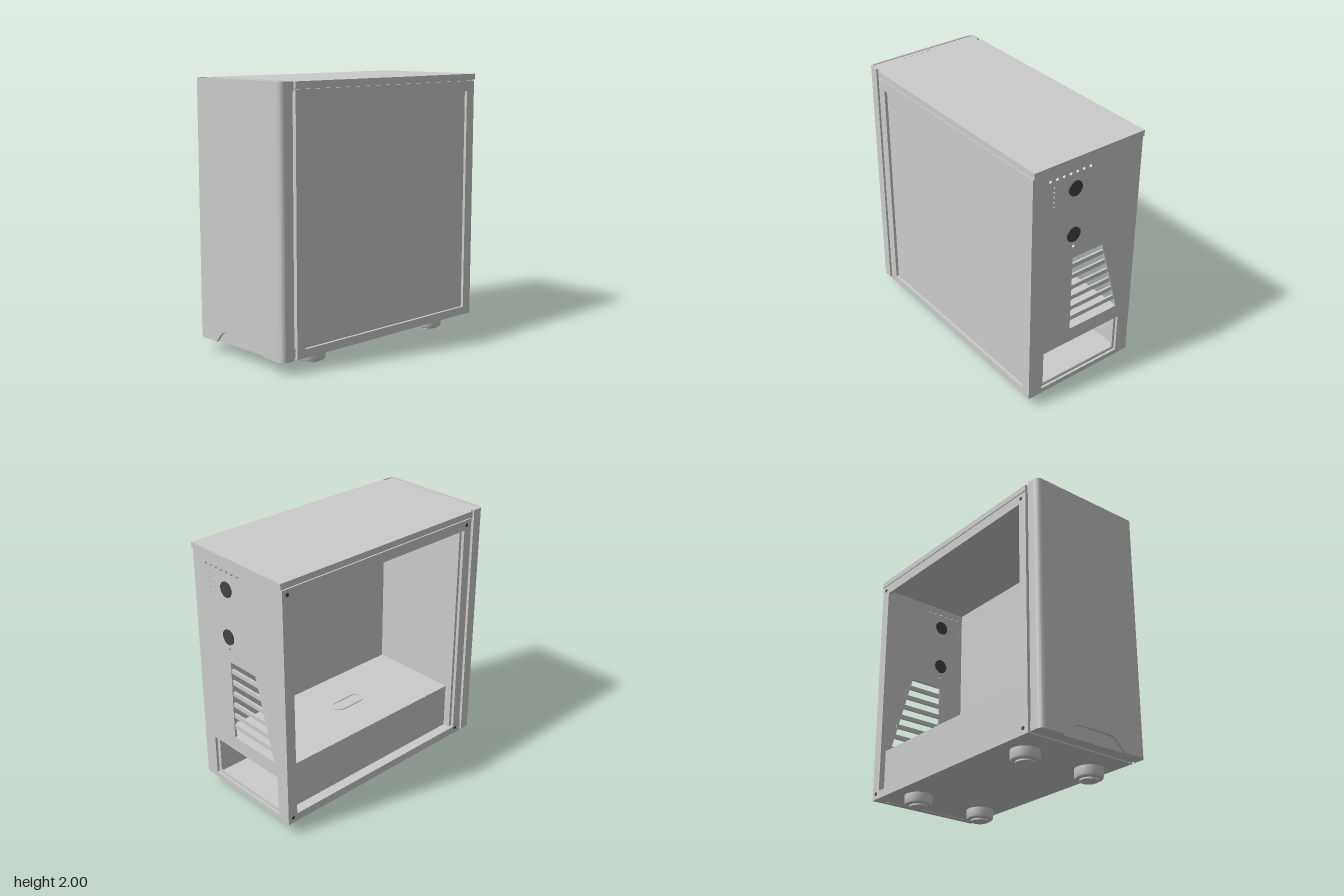
import * as THREE from 'three';
import { toCreasedNormals } from 'three/addons/utils/BufferGeometryUtils.js';

const grey = new THREE.MeshStandardMaterial({ color: 0xcccccc });
const dark = new THREE.MeshStandardMaterial({ color: 0x444444 });

function add(parent, name, geo, mat = grey) {
  const mesh = new THREE.Mesh(geo, mat);
  mesh.name = name;
  parent.add(mesh);
  return mesh;
}

// Box given by its limits on each axis
function box(parent, name, [x0, x1], [y0, y1], [z0, z1]) {
  const geo = new THREE.BoxGeometry(x1 - x0, y1 - y0, z1 - z0);
  geo.translate((x0 + x1) / 2, (y0 + y1) / 2, (z0 + z1) / 2);
  return add(parent, name, geo);
}

const poly = (pts, C = THREE.Path) => new C(pts.map(([a, b]) => new THREE.Vector2(a, b)));
const rect = (x0, x1, y0, y1, C) => poly([[x0, y0], [x1, y0], [x1, y1], [x0, y1]], C);
const circle = (x, y, r) => new THREE.Path().absarc(x, y, r, 0, Math.PI * 2);
const extrude = (shape, depth) =>
  new THREE.ExtrudeGeometry(shape, { depth, bevelEnabled: false, curveSegments: 10 });

// Stadium outline, long along the second axis
function stadium(x, y, r, half, C = THREE.Path) {
  const p = new C();
  p.absarc(x, y + half, r, 0, Math.PI);
  p.absarc(x, y - half, r, Math.PI, Math.PI * 2);
  p.closePath();
  return p;
}

// Side frame drawn in (z, y), thickness running towards -x
function sideFrame(parent, name, x, depth, hole) {
  const s = rect(-0.978, 0.86, 0.09, 1.945, THREE.Shape);
  s.holes.push(rect(...hole));
  add(parent, name, extrude(s, depth).rotateY(-Math.PI / 2).translate(x, 0, 0));
}

function buildBackPanel(parent) {
  const s = rect(-0.449, 0.449, 0.09, 1.95, THREE.Shape);
  // power supply opening
  s.holes.push(rect(-0.365, 0.36, 0.13, 0.45));
  // vent with one slanted side
  const edge = (y) => -0.16 - (1.19 - y) * 0.28;
  s.holes.push(poly([[edge(0.565), 0.565], [0.11, 0.565], [0.11, 1.19], [edge(1.19), 1.19]]));
  // small round holes
  for (let i = 0; i < 7; i++) s.holes.push(circle(0.33 - i * 0.057, 1.88, 0.012));
  for (let i = 0; i < 5; i++) s.holes.push(circle(0.295, 1.825 - i * 0.038, 0.006));
  s.holes.push(circle(0.11, 1.29, 0.012));
  add(parent, 'backPanel', extrude(s, 0.02).translate(0, 0, -0.978));

  // slats set just inside the vent
  for (let i = 0; i < 6; i++) {
    const y = 0.637 + i * 0.092;
    box(parent, 'ventSlat', [edge(y) - 0.01, 0.115], [y, y + 0.034], [-0.972, -0.955]);
  }

  // rubber hose plugs
  for (const y of [1.755, 1.39]) {
    const plug = add(parent, 'hosePlug', new THREE.CylinderGeometry(0.058, 0.058, 0.03, 32), dark);
    plug.rotation.x = Math.PI / 2;
    plug.position.set(0.115, y, -0.971);
  }

  // rim set inside the power supply opening
  const rim = rect(-0.385, 0.38, 0.12, 0.47, THREE.Shape);
  rim.holes.push(rect(-0.345, 0.34, 0.155, 0.445));
  add(parent, 'powerSupplyRim', extrude(rim, 0.012).translate(0, 0, -0.958));
}

function buildFrontPanel(parent) {
  const panel = new THREE.Group();
  panel.name = 'frontPanel';
  parent.add(panel);

  // centre of the thin cover, with the hand cut-out at the bottom
  const c = new THREE.Shape();
  c.moveTo(-0.41, 0.09);
  c.lineTo(-0.27, 0.09);
  c.bezierCurveTo(-0.23, 0.13, -0.21, 0.185, -0.12, 0.185);
  c.lineTo(0.12, 0.185);
  c.bezierCurveTo(0.21, 0.185, 0.23, 0.13, 0.27, 0.09);
  c.lineTo(0.41, 0.09);
  c.lineTo(0.41, 2);
  c.lineTo(-0.41, 2);
  add(panel, 'frontCover', extrude(c, 0.018).translate(0, 0, 0.972));

  // wrapped upright edges of the cover, drawn in plan as (x, -z)
  for (const side of [1, -1]) {
    const e = new THREE.Shape();
    e.moveTo(side * 0.41, -0.972);
    e.lineTo(side * 0.424, -0.972);
    e.quadraticCurveTo(side * 0.458, -0.972, side * 0.458, -0.935);
    e.lineTo(side * 0.458, -0.887);
    e.lineTo(side * 0.474, -0.887);
    e.lineTo(side * 0.474, -0.94);
    e.quadraticCurveTo(side * 0.474, -0.99, side * 0.424, -0.99);
    e.lineTo(side * 0.41, -0.99);
    const geo = extrude(e, 1.91).rotateX(-Math.PI / 2).translate(0, 0.09, 0);
    add(panel, 'coverEdge', toCreasedNormals(geo, 0.6));
  }

  // inner carrier: top and bottom bars bridge the air gap, backing plate between
  box(panel, 'upperBar', [-0.455, 0.455], [1.93, 1.995], [0.855, 0.973]);
  box(panel, 'lowerBar', [-0.455, 0.455], [0.1, 0.17], [0.855, 0.9]);
  box(panel, 'backingPlate', [-0.457, 0.457], [0.0905, 1.93], [0.89, 0.968]);

  // button and ports on the top bar
  const button = add(panel, 'powerButton', new THREE.CylinderGeometry(0.012, 0.012, 0.004, 20));
  button.position.set(0.08, 1.995, 0.94);
  for (const x of [-0.02, 0.03, 0.13, 0.18])
    box(panel, 'port', [x - 0.013, x + 0.013], [1.985, 1.997], [0.935, 0.945]);
}

function buildInterior(parent) {
  box(parent, 'motherboardTray', [0.33, 0.345], [0.14, 1.95], [-0.958, 0.77]);
  box(parent, 'innerFrontWall', [-0.449, 0.449], [0.14, 1.95], [0.765, 0.858]);
  // power supply cover
  box(parent, 'coverTop', [-0.39, 0.33], [0.495, 0.51], [-0.958, 0.765]);
  box(parent, 'coverSide', [-0.39, -0.375], [0.14, 0.5], [-0.958, 0.766]);
  // closed cable slot with a raised rim, drawn in (x, -z)
  const ring = stadium(-0.03, -0.02, 0.058, 0.085, THREE.Shape);
  ring.holes.push(stadium(-0.03, -0.02, 0.05, 0.085));
  add(parent, 'cableGrommet', extrude(ring, 0.012).rotateX(-Math.PI / 2).translate(0, 0.504, 0));
}

export function createModel() {
  const model = new THREE.Group();
  model.name = 'computerCase';

  // outer shell
  box(model, 'topPanel', [-0.474, 0.474], [1.952, 1.998], [-0.99, 0.86]);
  box(model, 'topGroove', [-0.455, 0.455], [1.935, 1.955], [-0.96, 0.85]);
  box(model, 'floor', [-0.45, 0.45], [0.09, 0.148], [-0.96, 0.858]);
  const hole = [-0.896, 0.787, 0.153, 1.866];
  sideFrame(model, 'leftFrame', 0.474, 0.025, hole);
  sideFrame(model, 'rightFrame', -0.449, 0.025, hole);
  box(model, 'leftWindow', [0.435, 0.452], [0.14, 1.89], [-0.91, 0.81]);

  buildBackPanel(model);
  buildFrontPanel(model);
  buildInterior(model);

  // corner screws on the open side
  for (const y of [0.135, 1.905])
    for (const z of [-0.935, 0.81]) {
      const screw = add(model, 'cornerScrew', new THREE.CylinderGeometry(0.014, 0.014, 0.02, 16), dark);
      screw.rotation.z = Math.PI / 2;
      screw.position.set(-0.466, y, z);
    }

  // dust filter handle under the back
  const tab = stadium(0, 0, 0.018, 0.36, THREE.Shape);
  const handle = add(model, 'filterHandle', extrude(tab, 0.01).rotateX(Math.PI / 2).rotateY(Math.PI / 2));
  handle.position.set(0, 0.095, -0.935);

  // feet
  const profile = [[0, 0], [0.068, 0], [0.068, 0.012], [0.088, 0.012], [0.099, 0.018],
    [0.105, 0.032], [0.105, 0.092], [0, 0.092]].map(([r, y]) => new THREE.Vector2(r, y));
  const footGeo = toCreasedNormals(new THREE.LatheGeometry(profile, 36), 0.6);
  for (const x of [-0.272, 0.313])
    for (const z of [0.59, -0.655]) add(model, 'foot', footGeo).position.set(x, 0, z);

  return model;
}
